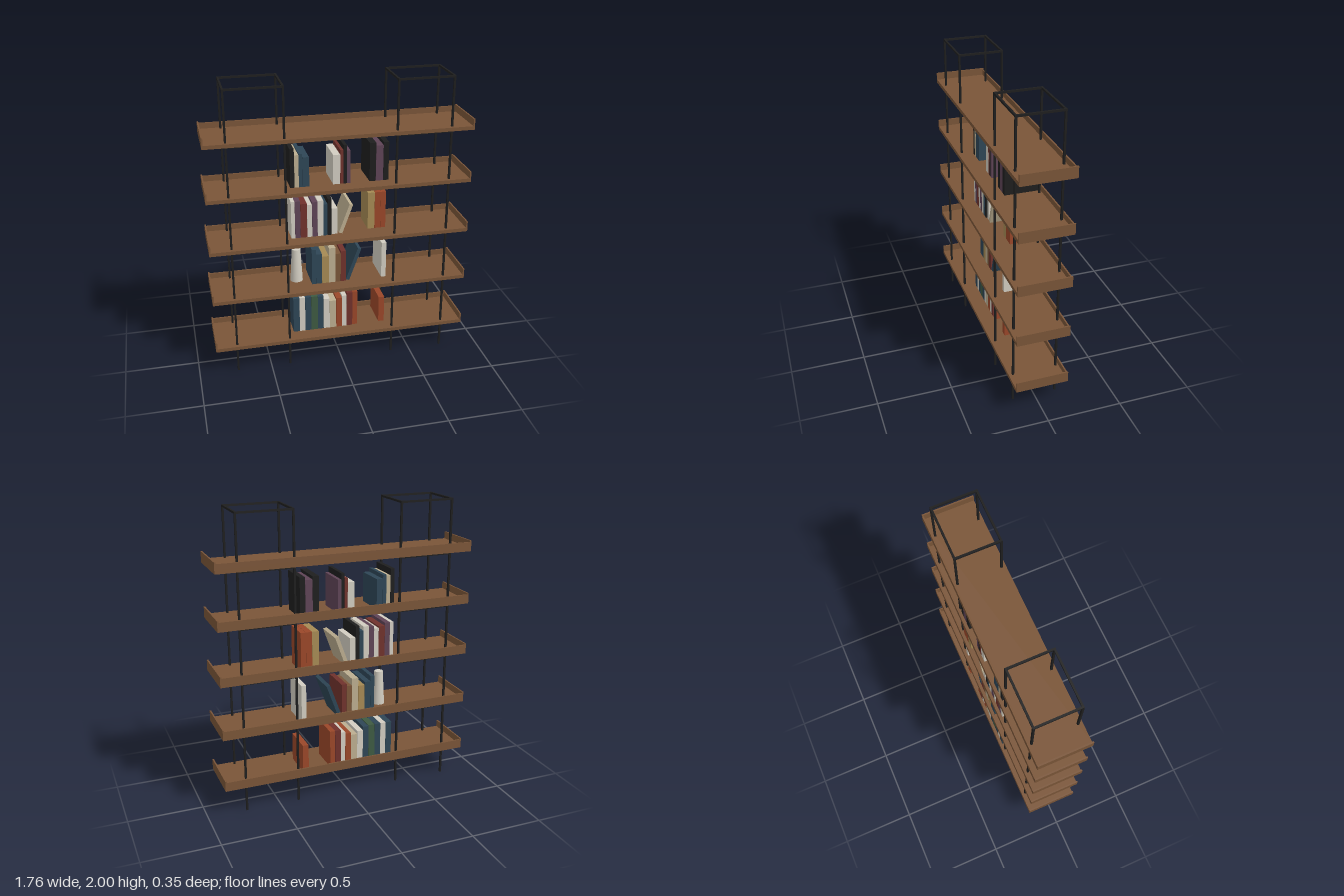
import * as THREE from 'three';

const mat = (name, color) => {
  const m = new THREE.MeshStandardMaterial({ color });
  m.name = name;
  return m;
};

export function createModel() {
  const root = new THREE.Group();
  root.name = 'bookshelf';

  const M = {
    wood: mat('walnut wood', 0x7a5538),
    black: mat('black', 0x1e1e1e),
    white: mat('off white', 0xd2cdc1),
    tan: mat('tan', 0xbcae90),
    blue: mat('slate blue', 0x2e4656),
    green: mat('green', 0x3e5a42),
    plum: mat('plum', 0x5f4456),
    red: mat('dark red', 0x70322c),
    rust: mat('rust orange', 0x9a4729),
    gold: mat('gold', 0xa68a54),
  };

  const box = (parent, name, material, w, h, d, x, y, z) => {
    const mesh = new THREE.Mesh(new THREE.BoxGeometry(w, h, d), material);
    mesh.name = name;
    mesh.position.set(x, y, z);
    parent.add(mesh);
    return mesh;
  };

  // Five shelf boards, each with a low back lip and end lips
  const W = 1.76, D = 0.352, T = 0.025, STEP = 0.3645, FIRST = 0.18;
  const shelfBottom = (i) => FIRST + i * STEP;
  for (let i = 0; i < 5; i++) {
    const shelf = new THREE.Group();
    shelf.name = 'shelf' + (i + 1);
    shelf.position.y = shelfBottom(i);
    box(shelf, 'board', M.wood, W, T, D, 0, T / 2, 0);
    box(shelf, 'backLip', M.wood, W - 0.02, 0.038, 0.01, 0, T + 0.019, -D / 2 + 0.005);
    for (const s of [-1, 1]) {
      box(shelf, 'endLip', M.wood, 0.01, 0.048, D, s * (W / 2 - 0.005), T + 0.024, 0);
    }
    root.add(shelf);
  }

  // Two thin metal frames: posts, a top ring and rails below every shelf
  const B = 0.013, HX = 0.183, HZ = 0.147;
  for (const side of [-1, 1]) {
    const frame = new THREE.Group();
    frame.name = side < 0 ? 'rightFrame' : 'leftFrame';
    frame.position.x = side * 0.55;
    for (const s of [-1, 1]) {
      for (const t of [-1, 1]) box(frame, 'post', M.black, B, 2, B, s * HX, 1, t * HZ);
      box(frame, 'topSideBar', M.black, B, B, 2 * HZ - B, s * HX, 2 - B / 2, 0);
      box(frame, 'topLongBar', M.black, 2 * HX - B, B, B, 0, 2 - B / 2, s * HZ);
      for (let i = 0; i < 5; i++) {
        box(frame, 'shelfRail', M.black, 2 * HX - B, B, B, 0, shelfBottom(i) - B / 2, s * HZ);
      }
    }
    root.add(frame);
  }

  // Books: [left x, right x, height, colour, depth]
  const rows = [
    [
      [-0.325, -0.281, 0.265, 'blue'], [-0.281, -0.241, 0.265, 'white'], [-0.241, -0.198, 0.265, 'blue'],
      [-0.198, -0.151, 0.265, 'green'], [-0.151, -0.11, 0.26, 'blue'], [-0.109, -0.066, 0.235, 'white'],
      [-0.066, -0.019, 0.215, 'tan'], [-0.019, 0.022, 0.231, 'rust'], [0.023, 0.056, 0.245, 'white'],
      [0.056, 0.098, 0.265, 'red'], [0.098, 0.135, 0.265, 'rust', 0.218], [0.291, 0.333, 0.196, 'rust', 0.218],
    ],
    [
      [-0.19, -0.161, 0.263, 'blue'], [-0.161, -0.119, 0.226, 'blue'], [-0.119, -0.071, 0.205, 'gold'],
      [-0.071, -0.024, 0.263, 'tan'], [-0.024, 0.013, 0.215, 'wood'], [0.013, 0.05, 0.231, 'red'],
      [0.302, 0.336, 0.263, 'white'],
    ],
    [
      [-0.325, -0.299, 0.264, 'white'], [-0.299, -0.262, 0.264, 'plum'], [-0.262, -0.217, 0.243, 'red'],
      [-0.217, -0.183, 0.233, 'white'], [-0.183, -0.146, 0.249, 'plum'], [-0.146, -0.106, 0.256, 'white'],
      [-0.106, -0.078, 0.227, 'blue'], [-0.077, -0.05, 0.264, 'black'], [-0.048, -0.008, 0.187, 'white', 0.215],
      [0.209, 0.257, 0.264, 'gold', 0.185], [0.257, 0.299, 0.264, 'rust', 0.185], [0.299, 0.335, 0.264, 'rust', 0.185],
    ],
    [
      [-0.325, -0.296, 0.265, 'black'], [-0.296, -0.267, 0.222, 'tan'], [-0.267, -0.242, 0.229, 'blue'],
      [-0.241, -0.198, 0.203, 'blue'], [-0.04, 0.008, 0.203, 'white'], [0.008, 0.029, 0.233, 'red'],
      [0.03, 0.053, 0.265, 'black'], [0.053, 0.077, 0.226, 'plum'], [0.206, 0.249, 0.265, 'black'],
      [0.249, 0.299, 0.245, 'plum'], [0.299, 0.336, 0.265, 'black'],
    ],
  ];
  const BACK = -0.151;
  const bookRows = rows.map((books, i) => {
    const row = new THREE.Group();
    row.name = 'bookRow' + (i + 1);
    row.position.y = shelfBottom(i) + T;
    for (const [a, b, h, color, d = 0.224] of books) {
      box(row, 'book', M[color], b - a - 0.001, h, d, (a + b) / 2, h / 2, BACK + d / 2);
    }
    root.add(row);
    return row;
  });

  // Leaning books, tipped toward +x and resting on the lower right corner
  const lean = (row, color, left, h) => {
    const w = 0.025, a = THREE.MathUtils.degToRad(20);
    const c = Math.cos(a), s = Math.sin(a);
    const book = box(bookRows[row], 'leaningBook', M[color], w, h, 0.22,
      left + (w * c + h * s) / 2, (h * c + w * s) / 2, BACK + 0.11);
    book.rotation.z = -a;
  };
  lean(1, 'blue', 0.05, 0.246);
  lean(2, 'tan', 0.0, 0.215);

  // Tapered vase
  const profile = [[0, 0], [0.043, 0], [0.04, 0.06], [0.034, 0.16], [0.03, 0.235], [0.028, 0.24], [0, 0.24]];
  const vase = new THREE.Mesh(
    new THREE.CylinderGeometry(profile[4][0], profile[1][0], 0.24, 24), M.white);
  vase.name = 'vase';
  vase.position.set(-0.281, 0.12, -0.02);
  bookRows[1].add(vase);

  return root;
}
